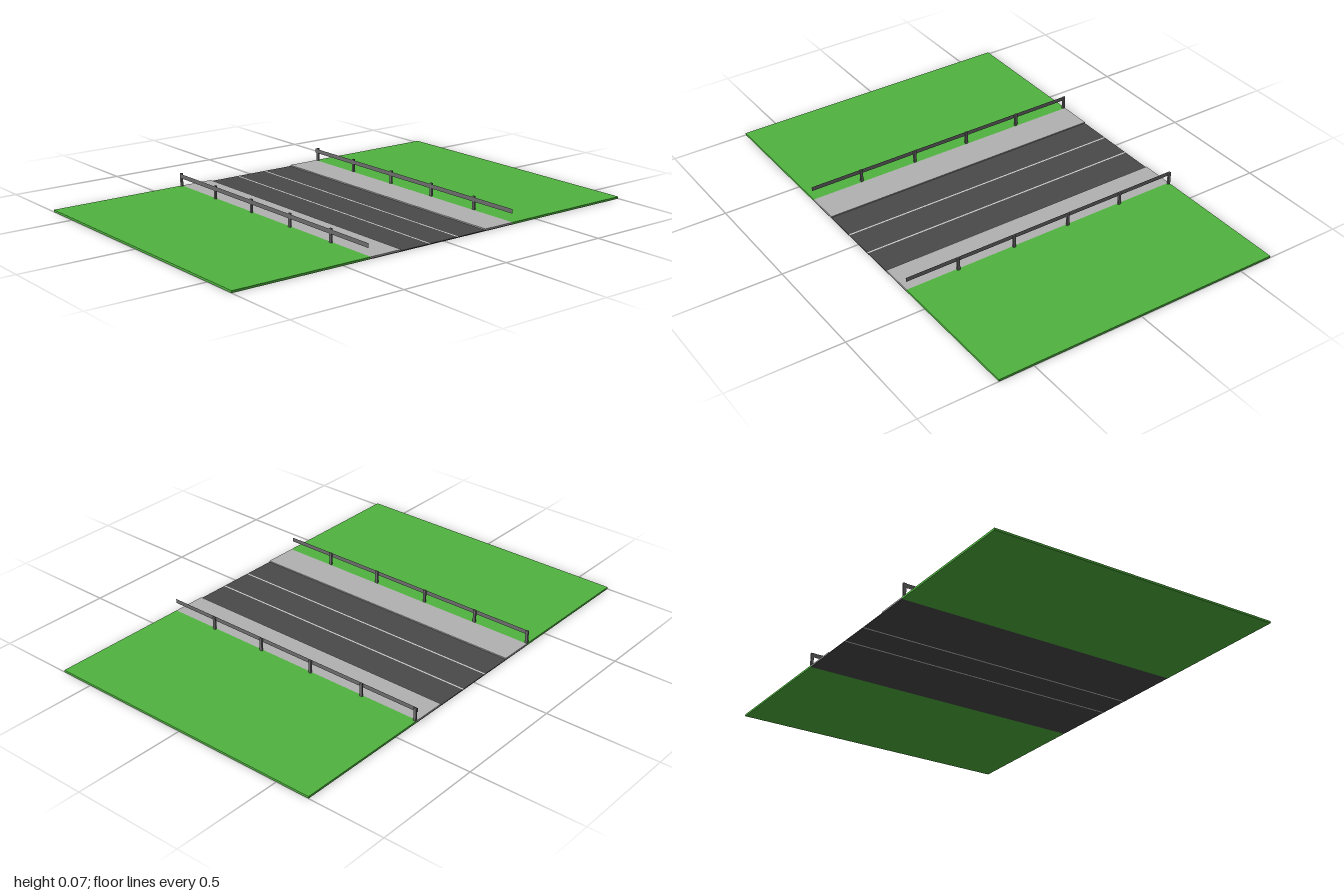
import * as THREE from 'three';

const LENGTH = 1.31; // along x
const mat = (color) => new THREE.MeshStandardMaterial({ color });
const grass = mat(0x50b43f);
const asphalt = mat(0x4a4a4a);
const paving = mat(0xb2b2b2);
const paint = mat(0xcfcfcf);
const metal = mat(0x6c6c6c);
metal.side = THREE.DoubleSide;

// Box given by its centre x, width, and y and z ranges
function slab(name, material, x, w, y0, y1, z0, z1) {
  const mesh = new THREE.Mesh(new THREE.BoxGeometry(w, y1 - y0, z1 - z0), material);
  mesh.position.set(x, (y0 + y1) / 2, (z0 + z1) / 2);
  mesh.name = name;
  return mesh;
}

function createGuardRail(name, postZ, railZ) {
  const rail = new THREE.Group();
  rail.name = name;
  // Thin continuous beam
  const beam = new THREE.Mesh(new THREE.PlaneGeometry(LENGTH, 0.019), metal);
  beam.position.set(0, 0.055, railZ);
  beam.name = 'beam';
  rail.add(beam);
  // Evenly spaced posts, starting at the right end
  for (let i = 0; i < 5; i++) {
    rail.add(slab('post', metal, -0.649 + i * 0.267, 0.012, 0.003, 0.067, postZ - 0.004, postZ + 0.004));
  }
  return rail;
}

export function createModel() {
  const model = new THREE.Group();
  model.name = 'roadSection';

  // Road bed, split by two full-depth painted lines
  const edges = [-0.37, -0.077, -0.07, 0.07, 0.077, 0.37];
  for (let i = 0; i < 5; i++) {
    const isLine = i % 2 === 1;
    model.add(slab(isLine ? 'laneLine' : 'roadLane', isLine ? paint : asphalt,
      0, LENGTH, 0, 0.004, edges[i], edges[i + 1]));
  }

  // Raised pavements and grass verges on both sides
  for (const [side, s] of [['front', 1], ['back', -1]]) {
    const strip = (name, material, y0, a, b) => slab(side + name, material,
      0, LENGTH, y0, 0.009, Math.min(s * a, s * b), Math.max(s * a, s * b));
    model.add(strip('Pavement', paving, 0.004, 0.22, 0.37));
    model.add(strip('Grass', grass, 0, 0.37, 1));
  }

  // Guard rails along the outer pavement edges
  model.add(createGuardRail('frontGuardRail', 0.376, 0.381));
  model.add(createGuardRail('backGuardRail', -0.376, -0.368));
  return model;
}
